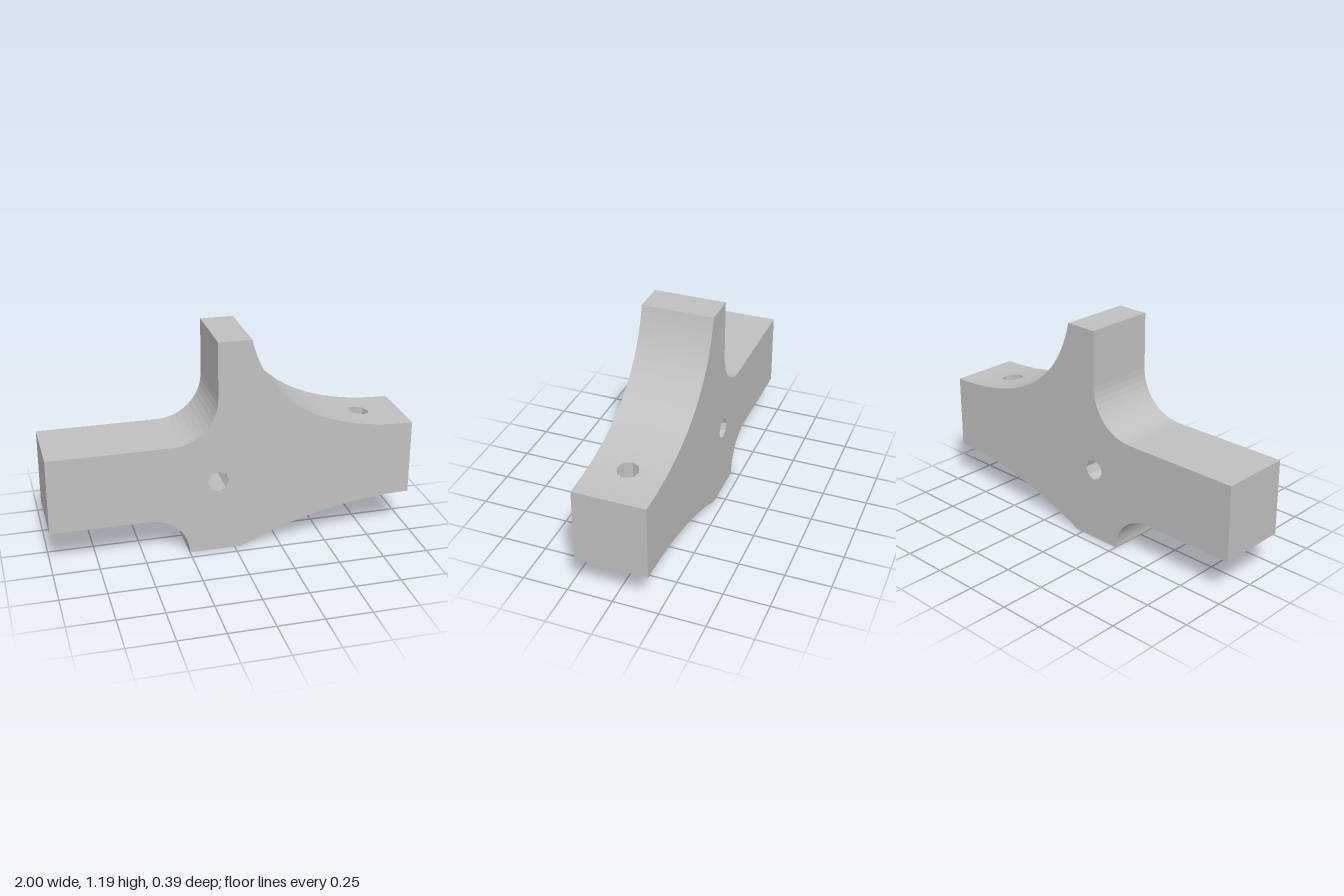
import * as THREE from 'three';

const DEPTH = 0.197;      // half thickness
const HOLE_R = 0.058;
const HOLE_SIDES = 8;
const ARM_HOLE_X = 0.76;

const v2 = (x, y) => new THREE.Vector2(x, y);

function circle(cx, cy) {
  return Array.from({ length: HOLE_SIDES }, (_, i) => {
    const a = (i / HOLE_SIDES) * Math.PI * 2;
    return v2(cx + HOLE_R * Math.cos(a), cy + HOLE_R * Math.sin(a));
  });
}

function arc(cx, cy, r, from, to, n) {
  return Array.from({ length: n + 1 }, (_, i) => {
    const a = from + ((to - from) * i) / n;
    return v2(cx + r * Math.cos(a), cy + r * Math.sin(a));
  });
}

// Flat-shaded strip of quads between two matching rows of points
function strip(a, b) {
  const p = [];
  for (let i = 0; i + 1 < a.length; i++) {
    for (const v of [a[i], b[i], b[i + 1], a[i], b[i + 1], a[i + 1]]) p.push(v.x, v.y, v.z);
  }
  const g = new THREE.BufferGeometry();
  g.setAttribute('position', new THREE.Float32BufferAttribute(p, 3));
  g.computeVertexNormals();
  return g;
}

const atDepth = (pts, z) => pts.map((p) => new THREE.Vector3(p.x, p.y, z));
const wall = (pts) => strip(atDepth(pts, DEPTH), atDepth(pts, -DEPTH));

// Face with one hole, optionally turned to face the other way
function holedFace(outline, hole, flip) {
  const shape = new THREE.Shape(outline);
  shape.holes.push(new THREE.Path(hole));
  const g = new THREE.ShapeGeometry(shape);
  if (flip) {
    const idx = g.index.array;
    for (let i = 0; i < idx.length; i += 3) [idx[i], idx[i + 1]] = [idx[i + 1], idx[i]];
    g.computeVertexNormals();
  }
  return g;
}

// Height of a left-to-right curve at x
function heightAt(pts, x) {
  let i = 0;
  while (i < pts.length - 2 && pts[i + 1].x < x) i++;
  const t = (x - pts[i].x) / (pts[i + 1].x - pts[i].x);
  return pts[i].y + (pts[i + 1].y - pts[i].y) * t;
}

// Divide a curve into the parts before, around and after the arm hole
function split(pts) {
  const start = pts.findIndex((p) => p.x > ARM_HOLE_X - 0.08) - 1;
  const end = pts.findIndex((p) => p.x > ARM_HOLE_X + 0.08);
  return { before: pts.slice(0, start + 1), around: pts.slice(start, end + 1), after: pts.slice(end) };
}

// Curved patch pierced by the arm hole
function patch(pts, flip) {
  const outline = [
    ...pts.map((p) => v2(p.x, -DEPTH)),
    ...pts.map((p) => v2(p.x, DEPTH)).reverse(),
  ];
  const g = holedFace(outline, circle(ARM_HOLE_X, 0), flip);
  g.rotateX(-Math.PI / 2);
  const pos = g.attributes.position;
  for (let i = 0; i < pos.count; i++) pos.setY(i, heightAt(pts, pos.getX(i)));
  g.computeVertexNormals();
  return g;
}

export function createModel() {
  const group = new THREE.Group();
  const grey = new THREE.MeshStandardMaterial({ color: 0xc0c0c0 });
  grey.name = 'plain grey';
  const add = (name, geometry) => {
    const mesh = new THREE.Mesh(geometry, grey);
    mesh.name = name;
    group.add(mesh);
  };

  // Curves of the right arm
  const under = new THREE.QuadraticBezierCurve(v2(0.04, 0), v2(0.5, 0.215), v2(1, 0.215)).getPoints(40);
  const over = new THREE.CubicBezierCurve(
    v2(0.09, 1.192), v2(0.17, 0.85), v2(0.45, 0.633), v2(1, 0.633)).getPoints(48);

  // Left side, from the top of the post down to the foot
  const leftSide = [
    v2(0.09, 1.192), v2(-0.09, 1.192),
    ...arc(-0.34, 0.883, 0.25, 0, -Math.PI / 2, 12),
    v2(-1, 0.633), v2(-1, 0.215),
    ...arc(-0.465, 0, 0.215, Math.PI / 2, 0, 12),
    v2(0.04, 0),
  ];

  // Front and back faces with the through hole
  const outline = [...under, ...over.slice().reverse(), ...leftSide.slice(1, -1)];
  const centreHole = circle(-0.09, 0.41);
  for (const [name, z] of [['frontFace', DEPTH], ['backFace', -DEPTH]]) {
    add(name, holedFace(outline, centreHole, z < 0).translate(0, 0, z));
  }

  // Outer walls
  const low = split(under);
  const high = split(over);
  add('leftWalls', wall(leftSide));
  add('armUnderside', wall(low.before));
  add('armEnd', wall([...low.after, ...high.after.slice().reverse()]));
  add('armUpperCurve', wall(high.before.slice().reverse()));
  add('armUndersidePatch', patch(low.around, true));
  add('armUpperPatch', patch(high.around, false));

  // Bores, facing inward
  const ring = [...centreHole, centreHole[0]];
  add('centreBore', strip(atDepth(ring, -DEPTH), atDepth(ring, DEPTH)));
  const armRing = circle(ARM_HOLE_X, 0);
  armRing.push(armRing[0]);
  const onCurve = (pts) => armRing.map((p) => new THREE.Vector3(p.x, heightAt(pts, p.x), -p.y));
  add('armBore', strip(onCurve(low.around), onCurve(high.around)));

  return group;
}
